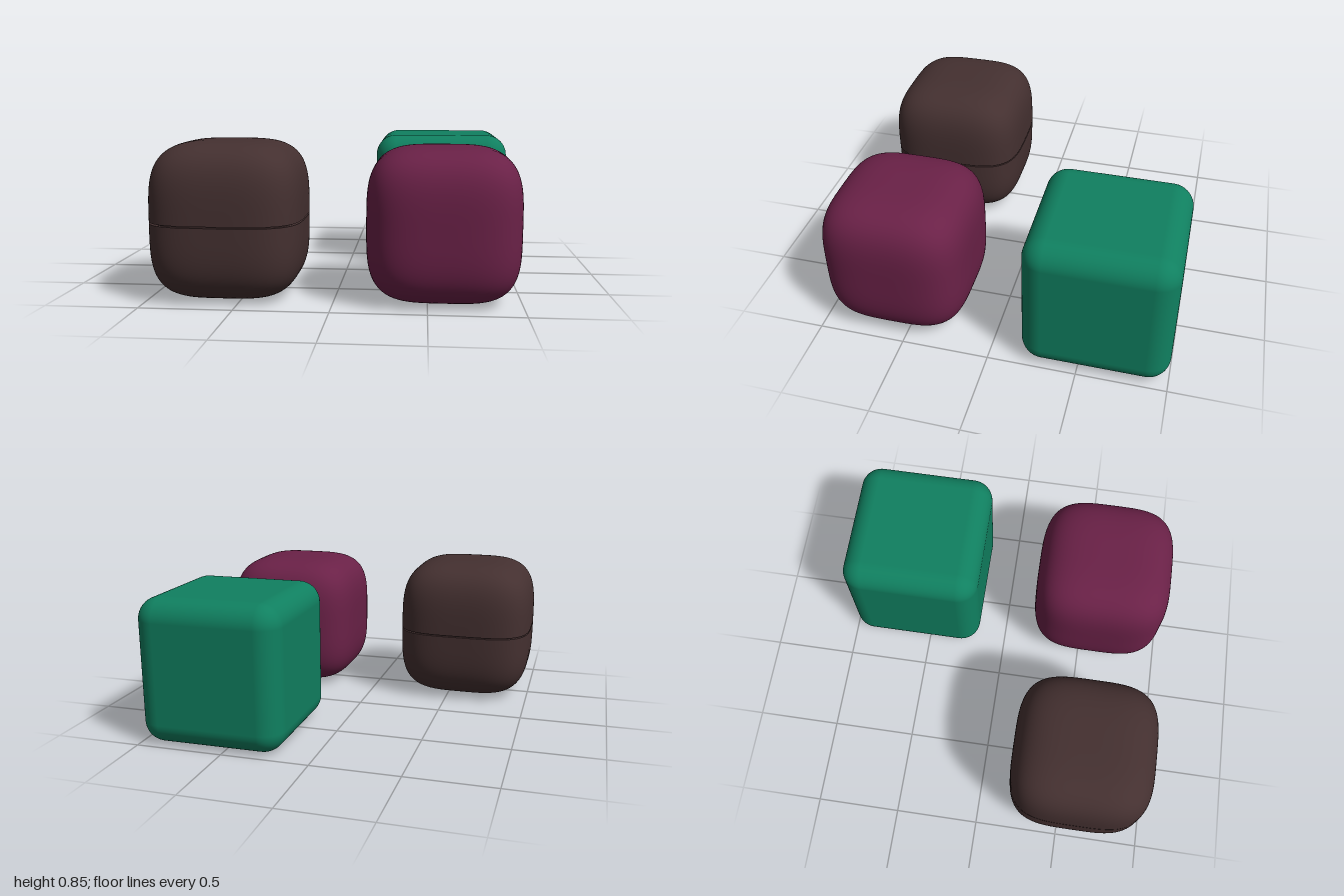
import * as THREE from 'three';
import { RoundedBoxGeometry } from 'three/addons/geometries/RoundedBoxGeometry.js';

const HALF = 0.413;    // half the side of every block
const SPACING = 0.585; // distance of block centres from the axes
const POWER = 3.75;    // squareness of the soft blocks

// Soft cube: a box pulled onto a superellipsoid with exact smooth normals.
// With half = true only the upper half is made, closed by a flat underside.
function softCube(half, height) {
  const n = 32;
  const geo = new THREE.BoxGeometry(2, half ? 1 : 2, 2, n, half ? n / 2 : n, n);
  if (half) geo.translate(0, 0.5, 0);
  const pos = geo.attributes.position, nor = geo.attributes.normal;
  const p = new THREE.Vector3(), q = new THREE.Vector3();
  const slope = (v) => Math.sign(v) * Math.abs(v) ** (POWER - 1);
  for (let i = 0; i < pos.count; i++) {
    p.fromBufferAttribute(pos, i);
    const c = p.toArray().map(Math.abs);
    const norm = c.reduce((s, v) => s + v ** POWER, 0) ** (1 / POWER);
    if (norm > 0) p.multiplyScalar(Math.max(...c) / norm);
    pos.setXYZ(i, p.x * HALF, p.y * height, p.z * HALF);
    if (half && nor.getY(i) < -0.5) continue; // flat underside keeps its normal
    q.set(slope(p.x) / HALF, slope(p.y) / height, slope(p.z) / HALF).normalize();
    nor.setXYZ(i, q.x, q.y, q.z);
  }
  return geo;
}

function addPart(parent, name, geometry, color, x, y, z) {
  const mesh = new THREE.Mesh(geometry, new THREE.MeshStandardMaterial({ color }));
  mesh.name = name;
  mesh.position.set(x, y, z);
  parent.add(mesh);
  return mesh;
}

export function createModel() {
  const model = new THREE.Group();
  model.name = 'threeBlocks';

  // Crisp block with small rounded edges
  const crisp = new RoundedBoxGeometry(2 * HALF, 2 * HALF, 2 * HALF, 8, 0.125);
  addPart(model, 'roundedBlock', crisp, 0x108060, SPACING - 0.003, HALF, -SPACING);

  // Soft block
  addPart(model, 'softBlock', softCube(false, HALF), 0x6a2147, SPACING - 0.003, HALF, SPACING);

  // Split block: two mirrored halves with a thin seam around a recessed core
  const brown = 0x443030, gap = 0.004, height = 0.423;
  const split = new THREE.Group();
  split.name = 'splitBlock';
  split.position.set(-SPACING, height + gap, SPACING);
  const halfGeo = softCube(true, height);
  addPart(split, 'upperHalf', halfGeo, brown, 0, gap, 0);
  addPart(split, 'lowerHalf', halfGeo, brown, 0, -gap, 0).rotation.x = Math.PI;
  const core = addPart(split, 'seamCore', softCube(false, HALF), brown, 0, 0, 0);
  core.scale.setScalar(0.95);
  model.add(split);

  return model;
}
